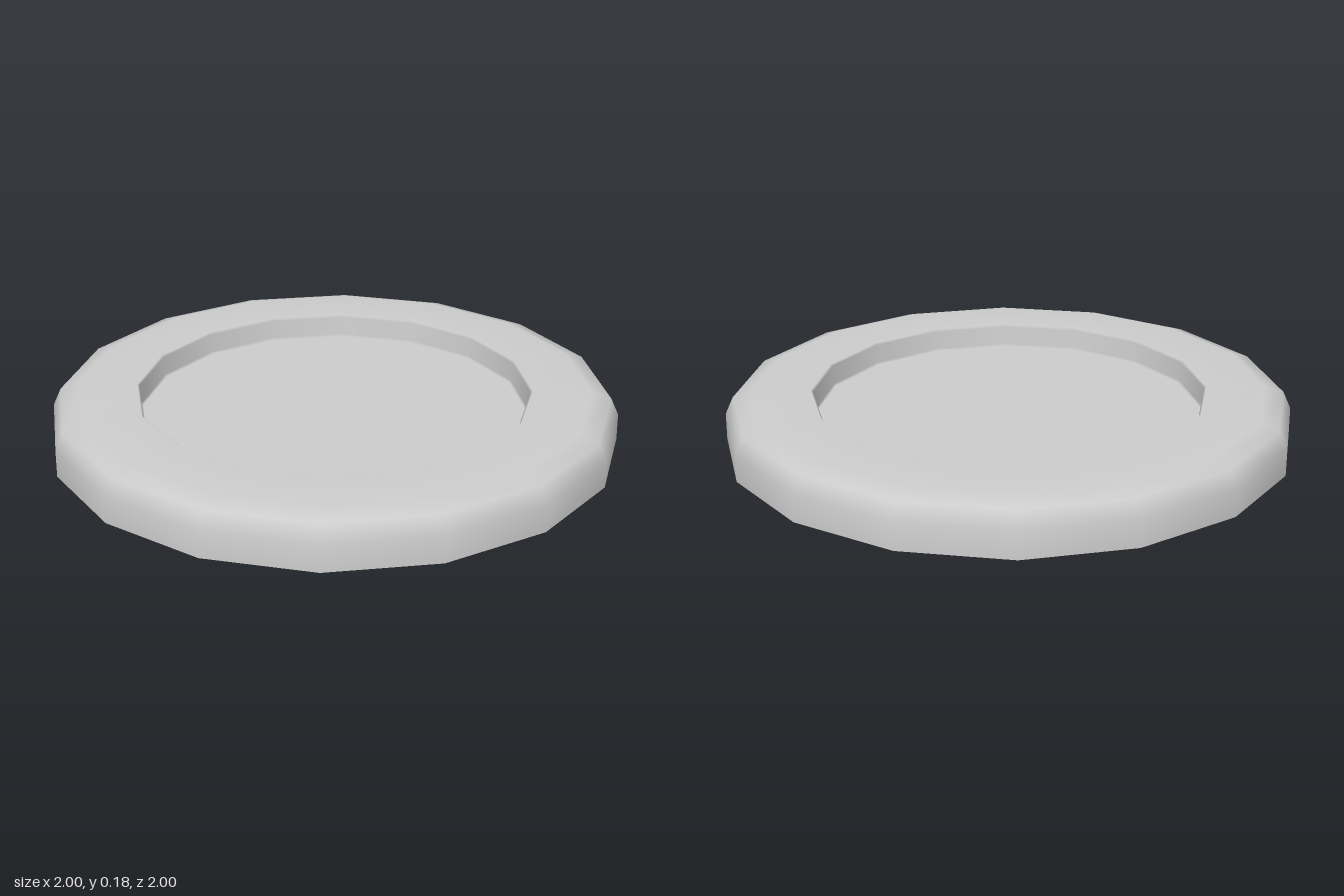
import * as THREE from 'three';

export function createModel() {
  const group = new THREE.Group();
  const material = new THREE.MeshStandardMaterial({ color: 0xcccccc, side: THREE.DoubleSide });

  // Open-bottomed shell: outer wall, rounded shoulder, flat rim, sunken floor
  const profile = [
    [1, 0], [1, 0.095], [0.972, 0.157], [0.905, 0.18],
    [0.697, 0.18], [0.69, 0.173],
    [0.687, 0.105], [0.68, 0.098], [0, 0.098],
  ].map(([r, y]) => new THREE.Vector2(r, y));

  const dish = new THREE.Mesh(new THREE.LatheGeometry(profile, 16), material);
  dish.name = 'dishShell';
  group.add(dish);
  return group;
}
